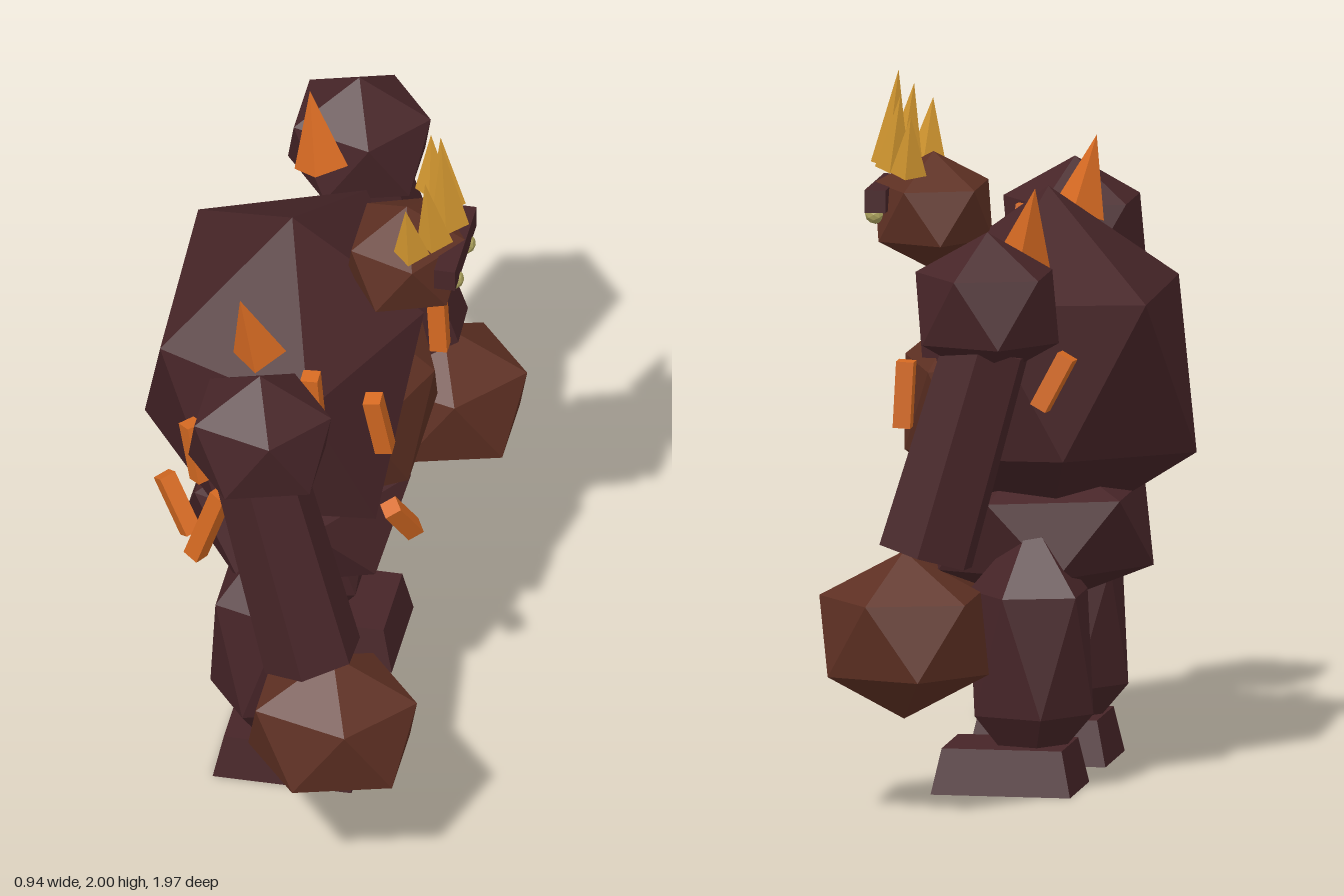
import * as THREE from 'three';
import { ConvexGeometry } from 'three/addons/geometries/ConvexGeometry.js';

const V = (x, y, z) => new THREE.Vector3(x, y, z);

function paint(name, color) {
  const m = new THREE.MeshStandardMaterial({ color, flatShading: true });
  m.name = name;
  return m;
}

// Twenty-sided boulder standing on a corner, stretched by radii r
function boulder(r) {
  const pts = [V(0, r.y, 0), V(0, -r.y, 0)];
  for (let k = 0; k < 5; k++) {
    for (const s of [1, -1]) {
      const a = (k * 72 + (s > 0 ? 0 : 36)) * Math.PI / 180;
      pts.push(V(0.8944 * Math.cos(a) * r.x, s * 0.4472 * r.y, 0.8944 * Math.sin(a) * r.z));
    }
  }
  return new ConvexGeometry(pts);
}

export function createModel() {
  const root = new THREE.Group();
  root.name = 'rockGolem';
  const body = new THREE.Group();
  body.name = 'body';
  body.position.z = -0.01;
  root.add(body);

  const darkRock = paint('dark rock', 0x472528);
  const brownRock = paint('brown rock', 0x5e3023);
  const orange = paint('ember orange', 0xd66a22);
  const gold = paint('gold', 0xd0952f);
  const eyeColor = paint('pale eye', 0xb0a660);

  function add(name, geo, mat, pos = V(0, 0, 0)) {
    const m = new THREE.Mesh(geo, mat);
    m.name = name;
    m.position.copy(pos);
    body.add(m);
    return m;
  }
  const rock = (name, mat, pos, r) => add(name, boulder(r), mat, pos);

  // Straight piece running from a to b
  function between(name, mat, a, b, make) {
    const d = b.clone().sub(a);
    const m = add(name, make(d.length()), mat, a.clone().add(b).multiplyScalar(0.5));
    m.quaternion.setFromUnitVectors(V(0, 1, 0), d.normalize());
    return m;
  }
  const spike = (name, mat, base, tip, r) =>
    between(name, mat, base, tip, h => new THREE.ConeGeometry(r, h, 4));
  const shard = (a, b) =>
    between('emberShard', orange, a, b, h => new THREE.BoxGeometry(0.05, h, 0.05));

  // Torso: irregular boulder, wide at the shoulders
  add('torso', new ConvexGeometry([
    V(-0.05, 1.68, 0),
    V(0.33, 1.4, 0), V(0.06, 1.41, -0.51), V(-0.39, 1.4, -0.34), V(-0.37, 1.39, 0.3), V(0.1, 1.4, 0.51),
    V(0.22, 0.95, -0.39), V(0.27, 0.95, 0.39), V(-0.17, 0.96, 0.45), V(-0.475, 0.93, 0), V(-0.17, 0.96, -0.44),
    V(-0.05, 0.66, 0),
  ]), darkRock);
  rock('chestPlate', brownRock, V(0.18, 1.07, -0.01), V(0.2, 0.27, 0.39));
  rock('pelvis', darkRock, V(-0.03, 0.71, 0), V(0.36, 0.235, 0.385));

  // Head with brow
  rock('head', brownRock, V(0.28, 1.6, 0), V(0.19, 0.17, 0.215));
  add('brow', new THREE.BoxGeometry(0.06, 0.065, 0.31), darkRock, V(0.42, 1.645, 0));

  for (const s of [1, -1]) {
    const side = s > 0 ? 'right' : 'left';
    add(side + 'Eye', new THREE.IcosahedronGeometry(0.03, 1), eyeColor, V(0.432, 1.6, s * 0.083));

    // Arm
    rock(side + 'Shoulder', darkRock, V(0, 1.44, s * 0.705), V(0.23, 0.215, 0.215));
    between(side + 'Arm', darkRock, V(0.165, 0.735, s * 0.77), V(0, 1.33, s * 0.715),
      h => new THREE.CylinderGeometry(0.13, 0.145, h, 6));
    rock(side + 'Fist', brownRock, V(0.225, 0.51, s * 0.78), V(0.272, 0.24, 0.24));

    // Leg and flared foot
    rock(side + 'Leg', darkRock, V(-0.05, 0.39, s * 0.28), V(0.2, 0.385, 0.185));
    const foot = new THREE.CylinderGeometry(0.86 * Math.SQRT1_2, Math.SQRT1_2, 0.13, 4);
    foot.rotateY(Math.PI / 4);
    foot.scale(0.4, 1, 0.31);
    add(side + 'Foot', foot, darkRock, V(0.01, 0.065, s * 0.285));

    spike(side + 'ShoulderHorn', orange, V(-0.055, 1.53, s * 0.435), V(-0.1, 1.75, s * 0.495), 0.078);

    // Outer crown spikes
    spike(side + 'OuterCrownSpike', gold, V(0.325, 1.725, s * 0.15), V(0.313, 1.895, s * 0.18), 0.052);
    spike(side + 'InnerCrownSpike', gold, V(0.38, 1.73, s * 0.09), V(0.355, 1.945, s * 0.11), 0.052);
  }
  spike('middleCrownSpike', gold, V(0.405, 1.73, 0), V(0.38, 2, 0), 0.055);

  // Glowing shards stuck around the torso
  shard(V(-0.235, 1.32, 0.53), V(-0.2, 1.14, 0.545));
  shard(V(-0.325, 1.07, 0.46), V(-0.24, 0.91, 0.5));
  shard(V(-0.14, 1.1, 0.555), V(-0.22, 0.86, 0.535));
  shard(V(0.26, 1.375, 0.385), V(0.29, 1.18, 0.355));
  shard(V(0.3, 0.95, 0.33), V(0.35, 0.82, 0.25));
  shard(V(0.11, 1.54, 0.53), V(0.12, 1.39, 0.52));
  shard(V(0.3, 1.22, -0.325), V(0.31, 1.03, -0.325));
  shard(V(-0.2, 1.28, -0.535), V(-0.12, 1.13, -0.53));

  return root;
}
